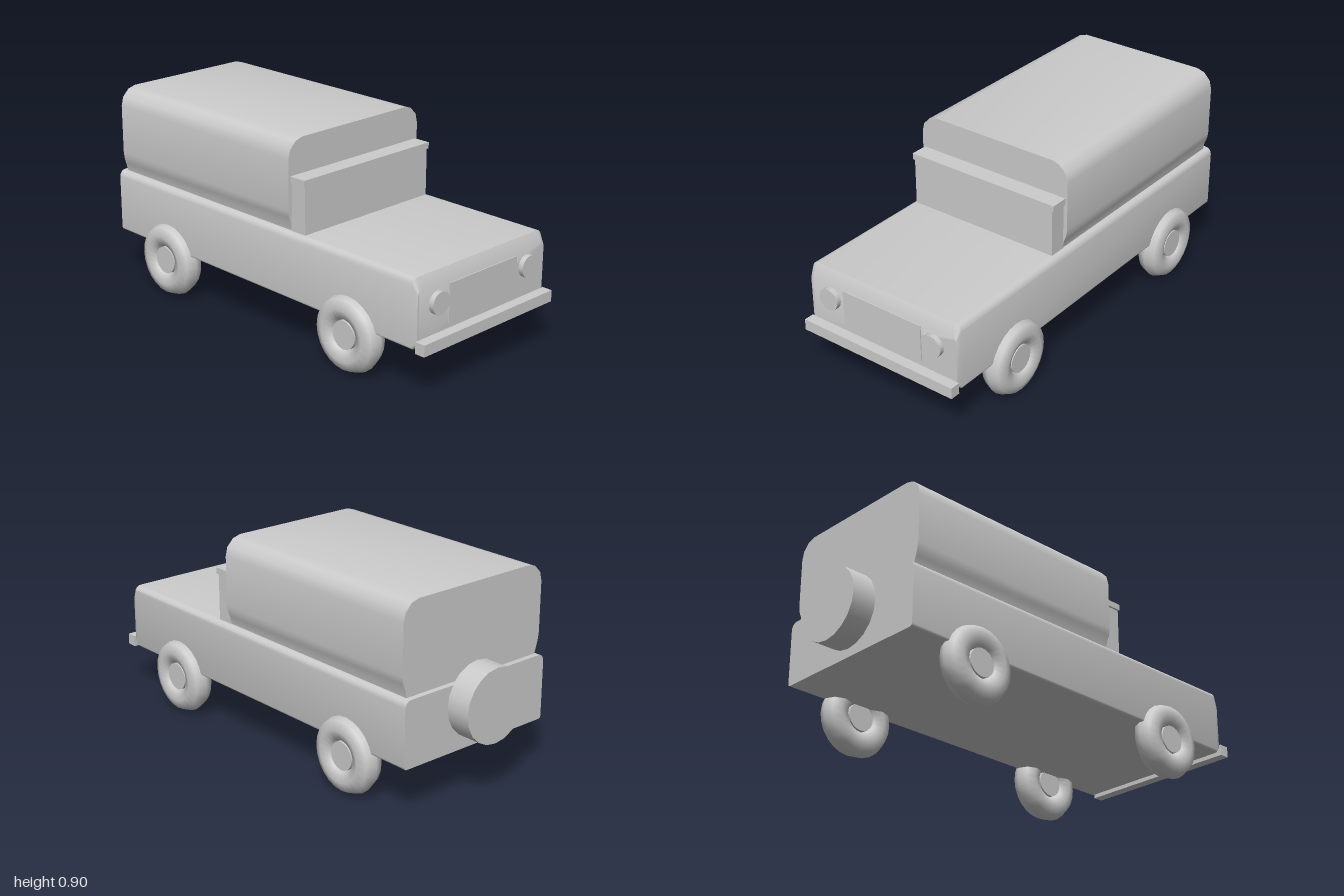
import * as THREE from 'three';
import { toCreasedNormals } from 'three/addons/utils/BufferGeometryUtils.js';

const material = new THREE.MeshStandardMaterial({ color: 0xcccccc });

function add(parent, name, geometry, x = 0, y = 0, z = 0) {
  const mesh = new THREE.Mesh(geometry, material);
  mesh.name = name;
  mesh.position.set(x, y, z);
  parent.add(mesh);
  return mesh;
}

// box given by its limits in x and y and its half width in z
function slab(parent, name, x0, x1, y0, y1, halfZ) {
  return add(parent, name, new THREE.BoxGeometry(x1 - x0, y1 - y0, halfZ * 2), (x0 + x1) / 2, (y0 + y1) / 2);
}

// closed skin along x through mirrored sections; half = [z, y] from the bottom up
function loft(sections) {
  const rings = sections.map(({ x, half }) => {
    const mirrored = half.slice().reverse().map(([z, y]) => [-z, y]);
    return [...half, ...mirrored].map(([z, y]) => [x, y, z]);
  });
  const n = rings[0].length;
  const positions = [];
  const tri = (a, b, c) => positions.push(...a, ...b, ...c);
  for (let j = 0; j < rings.length - 1; j++) {
    for (let i = 0; i < n; i++) {
      const k = (i + 1) % n;
      const [a, b] = [rings[j], rings[j + 1]];
      tri(a[i], b[i], b[k]);
      tri(a[i], b[k], a[k]);
    }
  }
  // end caps
  const back = rings[0];
  const front = rings[rings.length - 1];
  for (let i = 1; i < n - 1; i++) {
    tri(back[0], back[i], back[i + 1]);
    tri(front[0], front[i + 1], front[i]);
  }
  const geometry = new THREE.BufferGeometry();
  geometry.setAttribute('position', new THREE.Float32BufferAttribute(positions, 3));
  return toCreasedNormals(geometry, 0.6);
}

// half of a rectangle with rounded corners
function roundedHalf(w, y0, y1, rBottom, rTop) {
  const half = [];
  const arc = (cy, r, from) => {
    for (let i = 0; i <= 4; i++) {
      const t = from + (i / 4) * Math.PI / 2;
      half.push([w - r + r * Math.cos(t), cy + r * Math.sin(t)]);
    }
  };
  arc(y0 + rBottom, rBottom, -Math.PI / 2);
  arc(y1 - rTop, rTop, 0);
  return half;
}

function makeWheel() {
  const wheel = new THREE.Group();
  add(wheel, 'tyre', new THREE.TorusGeometry(0.112, 0.058, 8, 24));
  add(wheel, 'hub', new THREE.CylinderGeometry(0.062, 0.062, 0.08, 20)).rotation.x = Math.PI / 2;
  return wheel;
}

export function createModel() {
  const car = new THREE.Group();
  car.name = 'offRoadCar';

  // body with a sloping nose edge
  add(car, 'body', loft([
    { x: -0.89, half: roundedHalf(0.391, 0.22, 0.51, 0.012, 0.03) },
    { x: 0.93, half: roundedHalf(0.391, 0.212, 0.51, 0.012, 0.03) },
    { x: 0.953, half: roundedHalf(0.384, 0.235, 0.465, 0.012, 0.025) },
  ]));

  // canopy over the rear
  const canopyHalf = [
    [0.362, 0.508], [0.369, 0.545], [0.38, 0.57], [0.384, 0.6], [0.384, 0.82],
    [0.374, 0.86], [0.343, 0.892], [0.305, 0.903],
  ];
  add(car, 'canopy', loft([{ x: -0.865, half: canopyHalf }, { x: 0.235, half: canopyHalf }]));

  // windscreen with its top rail
  slab(car, 'windscreen', 0.23, 0.313, 0.505, 0.722, 0.365);
  slab(car, 'windscreenRail', 0.23, 0.316, 0.72, 0.748, 0.374);

  // nose
  slab(car, 'grille', 0.94, 0.958, 0.28, 0.447, 0.205);
  slab(car, 'bumper', 0.953, 1, 0.205, 0.255, 0.393);
  for (const side of [1, -1]) {
    const lamp = add(car, 'headlight', new THREE.CylinderGeometry(0.049, 0.049, 0.035, 16), 0.958, 0.387, side * 0.272);
    lamp.rotation.z = -Math.PI / 2;
  }

  // spare wheel on the tail
  add(car, 'spareWheel', new THREE.CylinderGeometry(0.162, 0.162, 0.112, 20), -0.944, 0.42, 0).rotation.z = Math.PI / 2;

  // four wheels
  for (const [end, x] of [['rear', -0.547], ['front', 0.585]]) {
    for (const side of [1, -1]) {
      const wheel = makeWheel();
      wheel.name = end + 'Wheel';
      wheel.position.set(x, 0.17, side * 0.375);
      car.add(wheel);
    }
  }
  return car;
}
